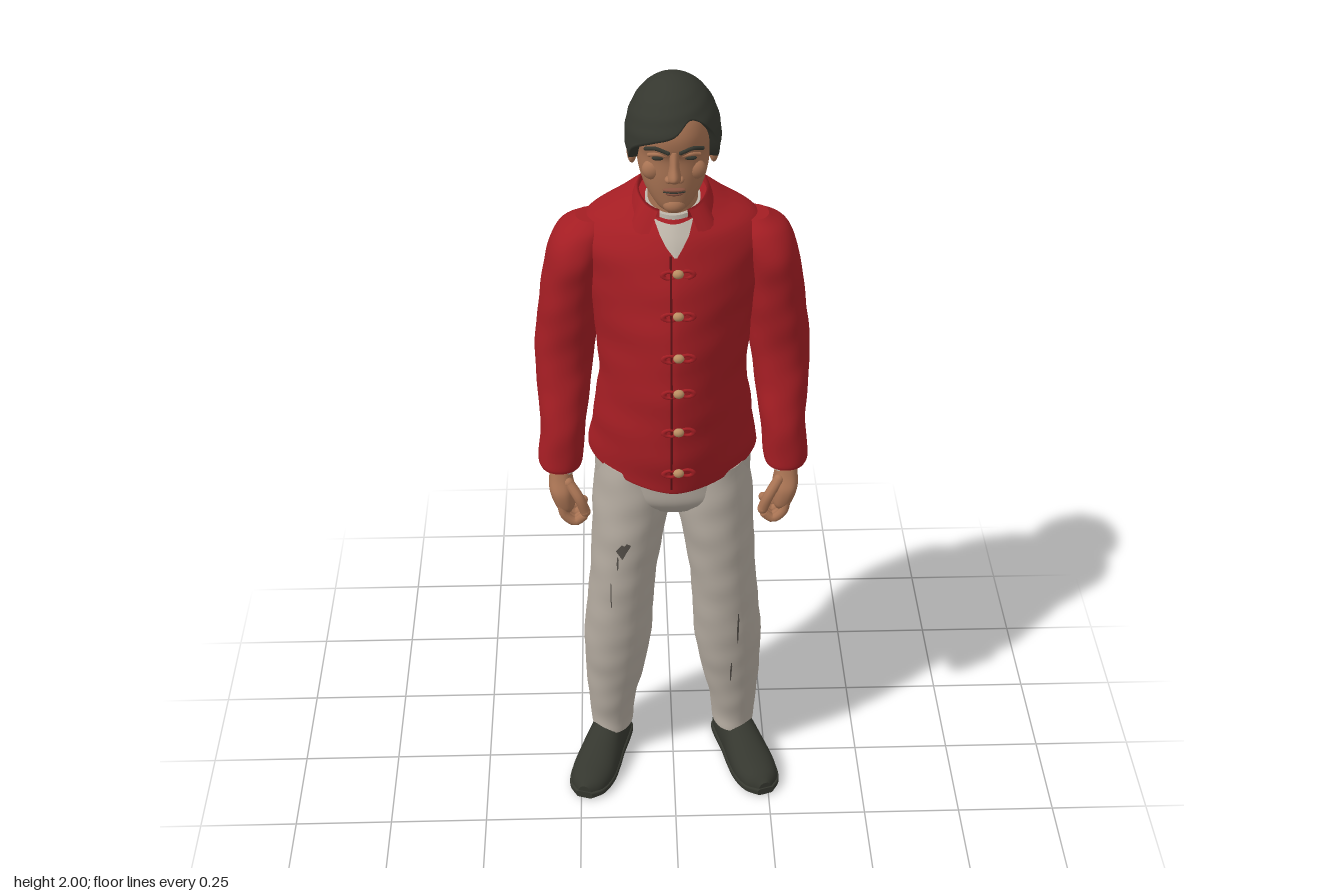
import * as THREE from 'three';

const paint = (name, color, side = THREE.FrontSide) => {
  const m = new THREE.MeshStandardMaterial({ color, side });
  m.name = name;
  return m;
};

// Surface through rows of points; closed rows wrap round, caps fill the ends
function surface(rows, closed = true, caps = true) {
  const pos = [], idx = [], n = rows[0].length;
  rows.forEach(r => r.forEach(p => pos.push(p.x, p.y, p.z)));
  for (let i = 0; i < rows.length - 1; i++) {
    for (let j = 0; j < (closed ? n : n - 1); j++) {
      const k = (j + 1) % n, a = i * n + j, b = i * n + k, c = a + n, d = b + n;
      idx.push(a, b, d, a, d, c);
    }
  }
  if (closed && caps) [rows[0], rows[rows.length - 1]].forEach((r, end) => {
    const base = pos.length / 3, mid = new THREE.Vector3();
    r.forEach(p => { pos.push(p.x, p.y, p.z); mid.addScaledVector(p, 1 / n); });
    pos.push(mid.x, mid.y, mid.z);
    for (let j = 0; j < n; j++) {
      const a = base + j, b = base + (j + 1) % n;
      idx.push(...(end ? [a, b, base + n] : [b, a, base + n]));
    }
  });
  const g = new THREE.BufferGeometry();
  g.setAttribute('position', new THREE.Float32BufferAttribute(pos, 3));
  g.setIndex(idx);
  g.computeVertexNormals();
  return g;
}

const spline = (keys, rows) =>
  new THREE.CubicInterpolant(keys, rows.flat(), rows[0].length, new Float32Array(rows[0].length));

// Body section: rings are [y, x0, x1, zBack, zFront, tilt], from low to high
function section(rings, { ef = 2, eb = 2, k = 0.5, fold = 0 } = {}) {
  const full = rings.map(r => [...r, 0].slice(0, 6));
  const curve = spline(full.map((_, i) => i), full);
  const at = (t, a) => {
    const [y, x0, x1, zb, zf, tilt] = curve.evaluate(t);
    const s = Math.sin(a), c = Math.cos(a), e = 2 / (c > 0 ? ef : eb), cz = zb + (zf - zb) * k;
    const w = 1 + fold * (Math.sin(y * 42 + 2 * a) + 0.6 * Math.sin(y * 71 - 3 * a));
    const x = (x0 + x1) / 2 + w * Math.max(0.001, (x1 - x0) / 2) * Math.sign(s) * Math.abs(s) ** e;
    const z = cz + w * (c > 0 ? zf - cz : cz - zb) * Math.sign(c) * Math.abs(c) ** e;
    return new THREE.Vector3(x, y - tilt * z, z);
  };
  // Point on the front of the section, pushed out a little
  const front = (x, y, out) => {
    let i = 0;
    while (i < full.length - 2 && full[i + 1][0] < y) i++;
    const t = i + THREE.MathUtils.clamp((y - full[i][0]) / (full[i + 1][0] - full[i][0]), 0, 1);
    const [, x0, x1] = curve.evaluate(t);
    const q = THREE.MathUtils.clamp((x - (x0 + x1) / 2) / ((x1 - x0) / 2), -1, 1);
    const p = at(t, Math.sign(q) * Math.asin(Math.abs(q) ** (ef / 2)));
    p.z += out;
    return p;
  };
  const geometry = (seg = 40, sub = 6) => surface(Array.from({ length: (full.length - 1) * sub + 1 }, (_, i) =>
    Array.from({ length: seg }, (_, j) => at(i / sub, j / seg * Math.PI * 2))));
  return { front, geometry };
}

// Thin plate lying on the front of a section: rows are [y, x0, x1]
const patch = (sec, rows, out = 0.004) => surface(rows.map(([y, x0, x1]) =>
  Array.from({ length: 9 }, (_, j) => sec.front(x0 + (x1 - x0) * j / 8, y, out))), false);

const mirrored = (rings, s) => s > 0 ? rings : rings.map(([y, a, b, ...r]) => [y, -b, -a, ...r]);
const sym = rings => rings.map(([y, w, ...r]) => [y, -w, w, ...r]);

export function createModel() {
  const root = new THREE.Group();
  root.name = 'standingMan';
  const red = paint('jacketRed', 0xa31d23, THREE.DoubleSide), seam = paint('seamRed', 0x5c1014, THREE.DoubleSide);
  const cloth = paint('trouserGrey', 0xb3aa9f), shirt = paint('shirtPale', 0xbcb4a8, THREE.DoubleSide);
  const skin = paint('skin', 0xa87353), lip = paint('lip', 0x8a5442);
  const dark = paint('hairAndShoe', 0x35372f), worn = paint('wornMark', 0x55504a, THREE.DoubleSide);
  const brass = paint('buttonTan', 0xb98d62);
  const add = (name, geo, mat, parent = root) => {
    const m = new THREE.Mesh(geo, mat);
    m.name = name;
    parent.add(m);
    return m;
  };
  const ball = (name, mat, x, y, z, rx, ry, rz) => {
    const m = add(name, new THREE.SphereGeometry(1, 20, 14), mat);
    m.position.set(x, y, z);
    m.scale.set(rx, ry, rz);
    return m;
  };
  const rod = (name, mat, pts, r) => {
    const v = pts.map(p => new THREE.Vector3(...p));
    add(name, new THREE.TubeGeometry(new THREE.CatmullRomCurve3(v), 12, r, 10), mat);
    [v[0], v[v.length - 1]].forEach(p => ball(name + 'End', mat, p.x, p.y, p.z, r, r, r));
  };

  // Jacket body
  const torso = section(sym([
    [0.995, 0.205, -0.178, 0.152, 0.12], [1.01, 0.207, -0.181, 0.157, 0.12], [1.1, 0.196, -0.166, 0.172, 0.03],
    [1.25, 0.178, -0.15, 0.175], [1.4, 0.193, -0.172, 0.16], [1.5, 0.213, -0.184, 0.138],
    [1.58, 0.225, -0.18, 0.11], [1.63, 0.195, -0.166, 0.088, 0.05], [1.662, 0.13, -0.148, 0.07, 0.15],
    [1.685, 0.085, -0.12, 0.052, 0.3]]), { ef: 1.6, eb: 2.5, k: 0.42, fold: 0.007 });
  add('jacketBody', torso.geometry(64, 8), red);
  const line = Array.from({ length: 25 }, (_, i) => [1.015 + i * 0.0245, -0.011, -0.006]);
  add('jacketOpening', patch(torso, line), seam);
  add('shirtFront', patch(torso, [[1.6, 0, 0.006], [1.625, -0.018, 0.02], [1.65, -0.032, 0.034], [1.68, -0.045, 0.045]], 0.007), shirt);

  // Buttons with cord loops
  [1.565, 1.47, 1.37, 1.28, 1.18, 1.07].forEach(y => {
    const p = torso.front(0.008, y, 0.006);
    ball('button', brass, p.x, p.y, p.z, 0.013, 0.011, 0.01);
    [-0.012, 0.028].forEach(x => {
      const q = torso.front(x, y, 0.003);
      const loop = add('cordLoop', new THREE.TorusGeometry(0.009, 0.004, 8, 16), red);
      loop.position.set(q.x, q.y - 0.004, q.z);
      loop.scale.x = 1.7;
    });
  });

  // Folded collar, open at the front
  const collarRow = (rx, rz, cz, yBack, yFront, point) => Array.from({ length: 41 }, (_, j) => {
    const a = THREE.MathUtils.lerp(0.42, Math.PI * 2 - 0.42, j / 40), f = (1 + Math.cos(a)) / 2;
    const tip = Math.max(0, f - 0.72) / 0.28 * point;
    return new THREE.Vector3(Math.sin(a) * (rx + tip * 1.9), THREE.MathUtils.lerp(yBack, yFront, f) - tip,
      cz + Math.cos(a) * rz + tip * 0.35);
  });
  add('collar', surface([collarRow(0.082, 0.086, -0.035, 1.68, 1.65, 0), collarRow(0.078, 0.082, -0.035, 1.735, 1.69, 0),
    collarRow(0.084, 0.088, -0.036, 1.735, 1.69, 0.004), collarRow(0.102, 0.106, -0.038, 1.685, 1.648, 0.038)], false), red);

  // Trousers: seat and legs
  add('trouserSeat', section(sym([[0.87, 0.1, -0.14, 0.08], [0.91, 0.18, -0.166, 0.108], [0.96, 0.194, -0.17, 0.112],
    [1.05, 0.187, -0.15, 0.11]]), { ef: 2.2, eb: 2.3 }).geometry(), cloth);
  const legRings = [[0.09, 0.108, 0.22, -0.145, 0.022], [0.13, 0.105, 0.223, -0.15, 0.022], [0.2, 0.095, 0.228, -0.152, 0.036],
    [0.3, 0.073, 0.232, -0.155, 0.055], [0.42, 0.056, 0.232, -0.15, 0.078], [0.6, 0.046, 0.215, -0.135, 0.098],
    [0.75, 0.025, 0.206, -0.153, 0.109], [0.88, 0.001, 0.2, -0.166, 0.11], [1.0, 0.01, 0.185, -0.155, 0.1]];
  for (const s of [1, -1]) {
    const side = s > 0 ? 'left' : 'right';
    const leg = section(mirrored(legRings, s), { ef: 2.1, eb: 2.2, fold: 0.009 });
    add(side + 'TrouserLeg', leg.geometry(40, 8), cloth);
    // Worn marks on the cloth
    const marks = s > 0 ? [[0.165, 0.5, 0.003, 0.05], [0.15, 0.34, 0.003, 0.04]]
      : [[-0.13, 0.77, 0.016, 0.022], [-0.118, 0.785, 0.01, 0.012], [-0.142, 0.73, 0.003, 0.022], [-0.16, 0.62, 0.002, 0.04]];
    marks.forEach(([x, y, w, h]) => add('wornMark', patch(leg, [[y - h, x - 0.001, x + 0.001], [y, x - w, x + w * 0.7],
      [y + h * 0.6, x - w * 0.4, x + w], [y + h, x - 0.001, x + 0.001]], 0.003), worn));

    // Sleeve, shirt cuff and hand
    add(side + 'Sleeve', section(mirrored([[0.99, 0.226, 0.328, -0.04, 0.07, 0.1], [1.01, 0.222, 0.331, -0.045, 0.072, 0.1],
      [1.1, 0.212, 0.324, -0.078, 0.066], [1.2, 0.198, 0.331, -0.125, 0.04], [1.27, 0.188, 0.333, -0.148, 0.026],
      [1.38, 0.178, 0.322, -0.16, 0.03], [1.48, 0.17, 0.307, -0.16, 0.036], [1.55, 0.16, 0.293, -0.155, 0.036],
      [1.6, 0.15, 0.268, -0.135, 0.015], [1.63, 0.15, 0.225, -0.1, -0.02]], s), { ef: 2.2, eb: 2.2, fold: 0.012 }).geometry(40, 8), red);
    add(side + 'ShirtCuff', section(mirrored([[0.975, 0.238, 0.312, -0.02, 0.065], [1.0, 0.236, 0.315, -0.024, 0.064]], s)).geometry(), shirt);
    add(side + 'Palm', section(mirrored([[0.872, 0.25, 0.282, 0.012, 0.078], [0.89, 0.243, 0.295, 0, 0.088], [0.93, 0.245, 0.307, -0.004, 0.09],
      [0.965, 0.25, 0.306, 0, 0.072], [1.01, 0.25, 0.302, -0.005, 0.055]], s), { ef: 2.4, eb: 2.4 }).geometry(), skin);
    for (let i = 0; i < 4; i++) {
      const z = 0.013 + i * 0.021, drop = [0.012, 0.003, 0, 0.006][i];
      rod(side + 'Finger', skin, [[s * 0.277, 0.895, z], [s * 0.27, 0.862 + drop, z + 0.003], [s * 0.245, 0.842 + drop, z + 0.004],
        [s * 0.225, 0.855 + drop, z + 0.002]], 0.0115);
    }
    rod(side + 'Thumb', skin, [[s * 0.258, 0.955, 0.066], [s * 0.233, 0.92, 0.085], [s * 0.219, 0.88, 0.084]], 0.013);

    // Shoe: lofted along its length, toe turned outwards
    const shoe = new THREE.Group();
    shoe.name = side + 'Shoe';
    shoe.position.set(s * 0.165, 0, -0.062);
    shoe.rotation.y = s * 0.31;
    root.add(shoe);
    const upper = [[-0.063, 0.02, 0.06], [-0.045, 0.041, 0.09], [0, 0.047, 0.115], [0.06, 0.05, 0.112], [0.11, 0.055, 0.092],
      [0.17, 0.057, 0.072], [0.22, 0.045, 0.058], [0.248, 0.018, 0.04]];
    const along = (rows, o) => section(rows, o).geometry(32).rotateX(Math.PI / 2);
    add('upper', along(sym(upper.map(([l, w, h]) => [l, w, -h, -0.008])), { ef: 4, eb: 2.1, k: 0.7 }), dark, shoe);
    add('sole', along(sym(upper.map(([l, w]) => [l * 1.015, w + 0.004, -0.024, l < 0.05 ? 0 : -0.004])), { ef: 5, eb: 5 }), dark, shoe);

    // Ear, eye and brow
    ball(side + 'Ear', skin, s * 0.093, 1.815, -0.025, 0.012, 0.034, 0.021).rotation.x = -0.15;
    ball(side + 'Eye', dark, s * 0.036, 1.844, 0.086, 0.014, 0.0055, 0.006);
    rod(side + 'Eyelid', skin, [[s * 0.018, 1.85, 0.089], [s * 0.037, 1.854, 0.089], [s * 0.056, 1.848, 0.077]], 0.0045);
    rod(side + 'Brow', dark, [[s * 0.014, 1.862, 0.1], [s * 0.04, 1.87, 0.093], [s * 0.063, 1.863, 0.077]], 0.0045);
    ball(side + 'Cheek', skin, s * 0.048, 1.805, 0.062, 0.024, 0.024, 0.019);
    ball(side + 'Nostril', skin, s * 0.013, 1.798, 0.101, 0.009, 0.008, 0.012);
  }

  // Neck and shirt collar
  add('neck', section(sym([[1.6, 0.065, -0.1, 0.04], [1.7, 0.058, -0.097, 0.04], [1.8, 0.058, -0.095, 0.04]])).geometry(), skin);
  add('shirtNeck', section(sym([[1.62, 0.07, -0.105, 0.06, 0.2], [1.69, 0.064, -0.1, 0.048, 0.2]])).geometry(), shirt);

  // Head and face
  add('head', section(sym([[1.699, 0.022, 0.01, 0.062], [1.712, 0.042, -0.03, 0.08], [1.75, 0.066, -0.06, 0.087], [1.79, 0.079, -0.08, 0.09],
    [1.835, 0.085, -0.1, 0.09], [1.865, 0.088, -0.11, 0.1], [1.9, 0.088, -0.115, 0.1], [1.94, 0.08, -0.105, 0.082],
    [1.975, 0.05, -0.07, 0.045]]), { ef: 2.2, k: 0.45 }).geometry(48), skin);
  add('nose', section(sym([[1.786, 0.008, 0.07, 0.098], [1.795, 0.017, 0.07, 0.118], [1.807, 0.015, 0.07, 0.128], [1.83, 0.011, 0.07, 0.115],
    [1.862, 0.012, 0.06, 0.101]]), { ef: 1.9 }).geometry(24), skin);
  ball('upperLip', lip, 0, 1.766, 0.087, 0.026, 0.005, 0.009);
  ball('lowerLip', lip, 0, 1.756, 0.085, 0.021, 0.006, 0.009);
  rod('mouthLine', dark, [[-0.024, 1.76, 0.087], [0, 1.761, 0.095], [0.024, 1.76, 0.087]], 0.0016);
  ball('chin', skin, 0, 1.721, 0.07, 0.026, 0.02, 0.021);

  // Hair cap with a parted hairline and combed ripples
  const hairline = spline([-3.1416, -2.15, -1.8, -1.4, -1, -0.5, 0, 0.4, 0.9, 1.4, 1.8, 2.15, 3.1416],
    [1.755, 1.775, 1.84, 1.81, 1.855, 1.885, 1.905, 1.935, 1.9, 1.81, 1.84, 1.775, 1.755].map(y => [y]));
  const hairRows = Array.from({ length: 34 }, (_, i) => Array.from({ length: 96 }, (_, j) => {
    const a = j / 96 * Math.PI * 2 - Math.PI, u = 1 - Math.min(i, 32) / 32;
    const th = Math.acos((hairline.evaluate(a)[0] - 1.86) / 0.14) * Math.max(1 - u, 0.002);
    const ripple = 1 + 0.008 * Math.sin(th * 22 + a * 3) * Math.sin(th);
    const r = Math.sin(th) * ripple * (i === 33 ? 0.8 : 1);
    return new THREE.Vector3(Math.sin(a) * r * 0.109, 1.86 + 0.14 * Math.cos(th), -0.01 + Math.cos(a) * r * 0.13);
  })).reverse();
  add('hair', surface(hairRows, true, false), dark);
  return root;
}
